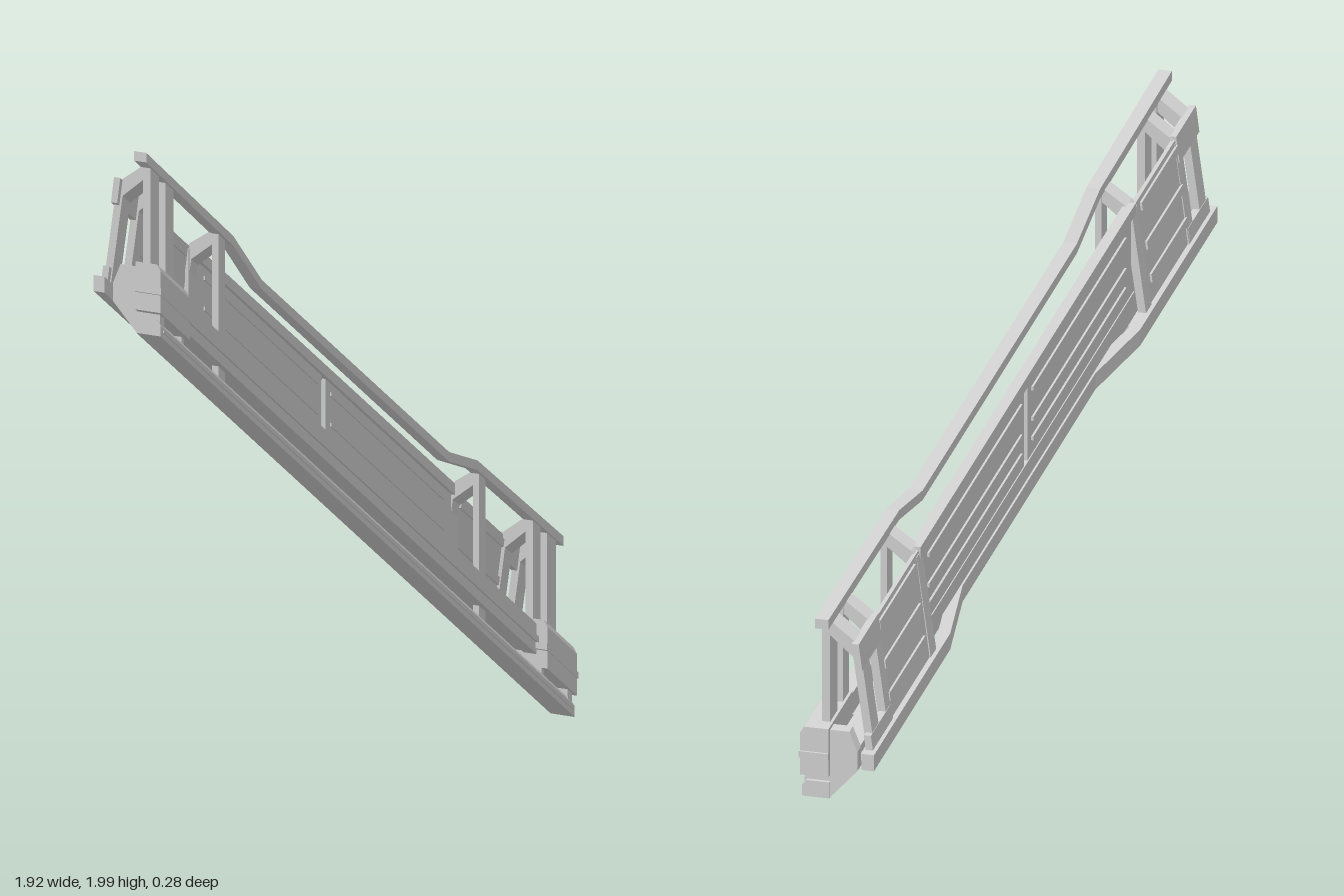
import * as THREE from 'three';

const SLOPE = -0.75; // everything is laid out level, then sheared along x

export function createModel() {
  const model = new THREE.Group();
  const mat = new THREE.MeshStandardMaterial({ color: 0xcccccc, flatShading: true, side: THREE.DoubleSide });
  const shear = new THREE.Matrix4().set(1, 0, 0, 0, SLOPE, 1, 0, 0, 0, 0, 1, 0, 0, 0, 0, 1);

  function add(name, geo) {
    geo.applyMatrix4(shear);
    const mesh = new THREE.Mesh(geo, mat);
    mesh.name = name;
    model.add(mesh);
  }

  // Box given by its limits
  function box(name, x0, x1, y0, y1, z0, z1) {
    const g = new THREE.BoxGeometry(Math.abs(x1 - x0), y1 - y0, z1 - z0);
    add(name, g.translate((x0 + x1) / 2, (y0 + y1) / 2, (z0 + z1) / 2));
  }

  // Side outline of [z, y] points, extruded between x0 and x1
  function plate(name, pts, x0, x1) {
    const shape = new THREE.Shape(pts.map(([z, y]) => new THREE.Vector2(-z, y)));
    const g = new THREE.ExtrudeGeometry(shape, { depth: Math.abs(x1 - x0), bevelEnabled: false });
    add(name, g.rotateY(Math.PI / 2).translate(Math.min(x0, x1), 0, 0));
  }

  // Rectangular bar through [x, y, z] points, running along x
  function rail(name, pts, h, d) {
    const path = [...pts].sort((a, b) => a[0] - b[0]);
    const pos = [], idx = [];
    for (const [x, y, z] of path) {
      for (const [a, b] of [[-1, -1], [-1, 1], [1, 1], [1, -1]]) pos.push(x, y + a * h / 2, z + b * d / 2);
    }
    for (let i = 0; i < path.length - 1; i++) {
      for (let k = 0; k < 4; k++) {
        const a = i * 4 + k, b = i * 4 + (k + 1) % 4;
        idx.push(a, a + 4, b, b, a + 4, b + 4);
      }
    }
    const e = (path.length - 1) * 4;
    idx.push(0, 1, 2, 0, 2, 3, e, e + 2, e + 1, e, e + 3, e + 2);
    const g = new THREE.BufferGeometry();
    g.setAttribute('position', new THREE.Float32BufferAttribute(pos, 3));
    g.setIndex(idx);
    const flat = g.toNonIndexed();
    flat.computeVertexNormals();
    add(name, flat);
  }

  // Long rails with cranked ends
  rail('topRail', [[-0.96, 1.265, 0.055], [-0.56, 1.255, 0.055], [-0.43, 1.2, 0.055],
    [0.43, 1.2, 0.055], [0.56, 1.255, 0.055], [0.955, 1.265, 0.055]], 0.03, 0.05);
  rail('rearLowerRail', [[-0.96, 0.85, -0.115], [-0.53, 0.85, -0.115], [-0.37, 0.85, -0.055],
    [0.37, 0.85, -0.055], [0.53, 0.85, -0.115], [0.955, 0.85, -0.115]], 0.05, 0.045);

  // Deck, its front beam, and the lower step
  box('deck', -0.93, 0.93, 0.835, 0.86, -0.06, 0.05);
  box('frontBeam', -0.93, 0.93, 0.83, 0.925, 0.035, 0.09);
  box('frontBeamLip', -0.82, 0.82, 0.865, 0.885, 0.09, 0.1);
  plate('lowerStep', [[0.03, 0.72], [0.13, 0.72], [0.13, 0.755], [0.115, 0.77], [0.03, 0.77]], -0.95, 0.95);
  box('lowerStepTrim', -0.94, 0.94, 0.738, 0.746, 0.13, 0.135);

  // Cap rail above the back panels
  box('panelCap', -0.6, 0.6, 1.165, 1.2, -0.075, -0.035);
  box('panelFoot', -0.6, 0.6, 0.875, 0.925, -0.07, -0.04);

  for (const s of [-1, 1]) {
    // Centre panel halves leave a slit between them
    box('backPanel', s * 0.009, s * 0.62, 0.86, 1.18, -0.066, -0.052);
    for (const y of [0.97, 1.03, 1.125]) {
      box('panelBatten', s * 0.03, s * 0.55, y, y + 0.012, -0.074, -0.046);
    }

    // Leaning end panel with battens
    const lean = (y) => -0.06 - (1.19 - y) * 0.16;
    const slab = (name, x0, x1, y0, y1, t) => plate(name, [[lean(y0) - t, y0], [lean(y0) + t, y0],
      [lean(y1) + t, y1], [lean(y1) - t, y1]], s * x0, s * x1);
    slab('endPanel', 0.6, 0.84, 0.86, 1.19, 0.007);
    for (const y of [0.93, 1.03, 1.15]) slab('endPanelBatten', 0.63, 0.83, y, y + 0.025, 0.015);
    slab('endFrameTop', 0.83, 0.94, 1.12, 1.2, 0.013);
    slab('endFrameBottom', 0.83, 0.94, 0.86, 0.92, 0.013);

    // Bent ribs: arm from the top rail back, then down to the rear rail
    for (const [x0, x1, top] of [[0.585, 0.615, 1.25], [0.825, 0.855, 1.255], [0.895, 0.93, 1.255]]) {
      plate('rearRib', [[0.04, top], [-0.05, 1.2], [-0.07, 1.18], [-0.13, 0.83], [-0.1, 0.83],
        [-0.045, 1.15], [0.04, top - 0.045]], s * x0, s * x1);
    }

    // Front posts
    box('endPost', s * 0.89, s * 0.93, 0.9, 1.255, 0.04, 0.07);
    box('endPost', s * 0.825, s * 0.86, 0.9, 1.255, 0.04, 0.07);
    box('frontPost', s * 0.583, s * 0.613, 0.75, 1.25, 0.04, 0.065);
    plate('lowerStrut', [[0.06, 0.74], [0.06, 0.77], [-0.1, 0.85], [-0.12, 0.83]], s * 0.585, s * 0.612);

    // Diagonal brace from the front beam to the bent rib
    rail('diagonalBrace', [[s * 0.42, 0.92, 0.035], [s * 0.6, 0.95, -0.035], [s * 0.83, 0.95, -0.085]], 0.03, 0.02);

    // End box, its raised band, and the bracket closing the end
    plate('endBox', [[0.03, 0.79], [0.135, 0.79], [0.135, 0.92], [0.12, 0.94], [0.03, 0.94]], s * 0.82, s * 0.955);
    box('endBoxBand', s * 0.815, s * 0.958, 0.845, 0.865, 0.03, 0.138);
    plate('endBracket', [[0.125, 0.72], [0.03, 0.72], [-0.07, 0.81], [-0.07, 0.87], [-0.04, 0.93],
      [0.12, 0.93]], s * 0.925, s * 0.945);
    plate('innerBracket', [[0.11, 0.73], [0.03, 0.73], [-0.07, 0.82], [-0.07, 0.86], [0.11, 0.86]],
      s * 0.82, s * 0.832);
    plate('bracketFloor', [[0.04, 0.72], [0.03, 0.72], [-0.07, 0.81], [-0.07, 0.825]], s * 0.83, s * 0.93);
  }
  return model;
}
